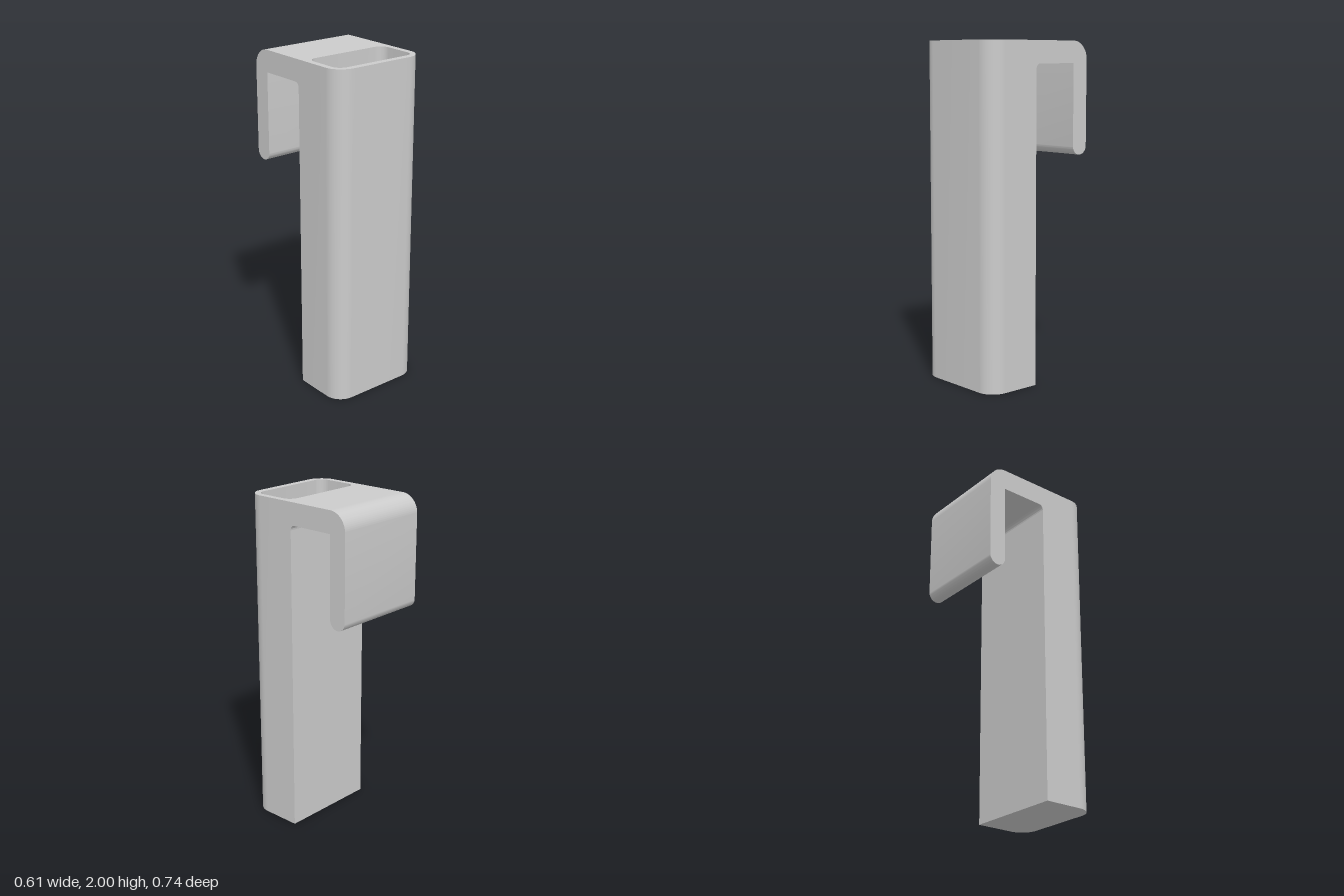
import * as THREE from 'three';
import { mergeGeometries, toCreasedNormals } from 'three/addons/utils/BufferGeometryUtils.js';

const W = 0.305, FRONT = 0.372, BACK = 0.03, H = 2, FLOOR = 0.037;
const SEG = 16, HALF = Math.PI / 2;

// Plan outlines are drawn in (x, -z) and laid flat.
function bodyOutline() {
  const r = 0.105, s = new THREE.Shape();
  s.moveTo(W, -BACK);
  s.lineTo(-W, -BACK);
  s.lineTo(-W, -FRONT + r);
  s.absarc(-W + r, -FRONT + r, r, Math.PI, 3 * HALF);
  s.absarc(W - r, -FRONT + r, r, 3 * HALF, 4 * HALF);
  s.closePath();
  return s;
}

function cavityOutline() {
  const x = 0.268, y0 = -0.332, y1 = -0.065, r = 0.056, s = new THREE.Shape();
  s.absarc(x - r, y1 - r, r, 0, HALF);
  s.absarc(-x + r, y1 - r, r, HALF, Math.PI);
  s.absarc(-x + r, y0 + r, r, Math.PI, 3 * HALF);
  s.absarc(x - r, y0 + r, r, 3 * HALF, 4 * HALF);
  s.closePath();
  return s;
}

// Upright wall following a counter-clockwise outline; inward turns it to face inside.
function wall(shape, y0, y1, inward) {
  const pts = shape.getPoints(SEG), pos = [];
  pts.forEach((p, i) => {
    const q = pts[(i + 1) % pts.length];
    if (p.distanceTo(q) < 1e-6) return;
    const [a, b] = inward ? [q, p] : [p, q];
    pos.push(a.x, y0, -a.y, b.x, y0, -b.y, b.x, y1, -b.y);
    pos.push(a.x, y0, -a.y, b.x, y1, -b.y, a.x, y1, -a.y);
  });
  const g = new THREE.BufferGeometry();
  g.setAttribute('position', new THREE.Float32BufferAttribute(pos, 3));
  return g;
}

// Flat cap at height y, facing up or down.
function cap(shape, y, down) {
  const g = new THREE.ShapeGeometry(shape, SEG);
  if (down) {
    const idx = g.index.array;
    for (let i = 0; i < idx.length; i += 3) [idx[i], idx[i + 1]] = [idx[i + 1], idx[i]];
  }
  const flat = g.toNonIndexed().rotateX(-HALF).translate(0, y, 0);
  flat.deleteAttribute('uv');
  flat.deleteAttribute('normal');
  return flat;
}

// Side profile of the hook, drawn in (-z, y).
function hookProfile() {
  const under = 1.87, inner = 0.265, outer = 0.372, tip = (outer - inner) / 2;
  const R = 0.107, f = 0.03, s = new THREE.Shape();
  s.moveTo(-BACK, H);
  s.lineTo(-BACK, under - f);
  s.absarc(-BACK + f, under - f, f, Math.PI, HALF, true);
  s.lineTo(inner, under);
  s.lineTo(inner, 1.335 + tip);
  s.absarc(inner + tip, 1.335 + tip, tip, Math.PI, 2 * Math.PI);
  s.lineTo(outer, H - R);
  s.absarc(outer - R, H - R, R, 0, HALF);
  s.closePath();
  return s;
}

export function createModel() {
  const group = new THREE.Group();
  const material = new THREE.MeshStandardMaterial({ color: 0xcccccc });
  const add = (name, geometry) => {
    const mesh = new THREE.Mesh(toCreasedNormals(geometry, 0.5), material);
    mesh.name = name;
    group.add(mesh);
  };

  // Tall holder, open at the top, closed at the bottom
  const outline = bodyOutline(), cavity = cavityOutline(), rim = bodyOutline();
  rim.holes.push(cavity);
  add('holderBody', mergeGeometries([
    wall(outline, 0, H, false),
    wall(cavity, FLOOR, H, true),
    cap(rim, H, false),
    cap(cavity, FLOOR, false),
    cap(outline, 0, true),
  ]));

  // Hook over the back, extruded across the full width
  const hook = new THREE.ExtrudeGeometry(hookProfile(), { depth: 2 * W, bevelEnabled: false, curveSegments: SEG });
  hook.translate(0, 0, -W).rotateY(HALF);
  add('hook', hook);

  return group;
}
